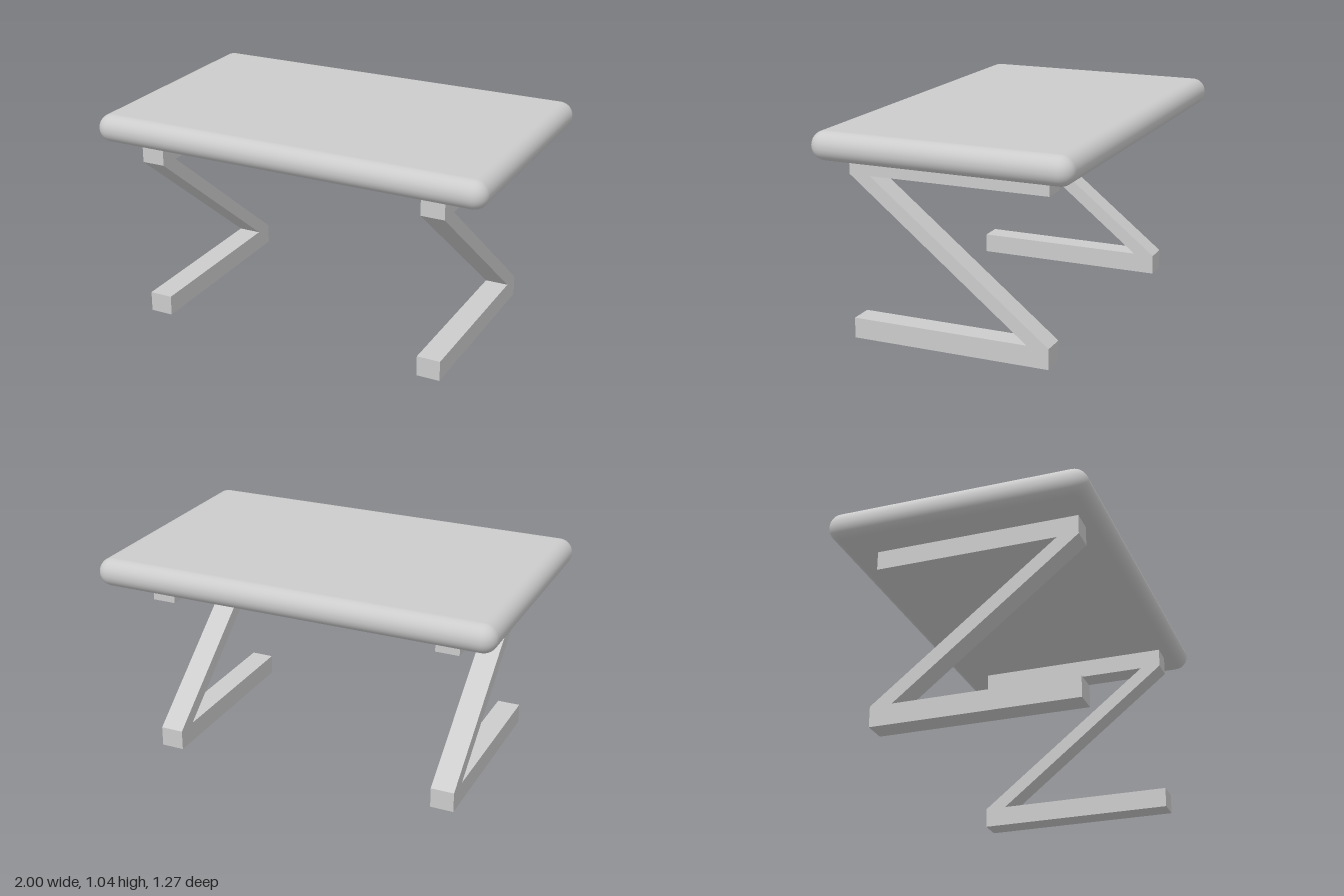
import * as THREE from 'three';
import { RoundedBoxGeometry } from 'three/addons/geometries/RoundedBoxGeometry.js';

const TOP_HEIGHT = 0.138;
const LEG_HEIGHT = 0.9;
const LEG_WIDTH = 0.116;

// Z-shaped side profile, as (z, y) points
const LEG_PROFILE = [
  [0.54, 0], [0.54, 0.1], [-0.348, 0.1], [0.54, 0.805], [0.54, LEG_HEIGHT],
  [-0.455, LEG_HEIGHT], [-0.455, 0.805], [0.435, 0.805], [-0.455, 0.1], [-0.455, 0],
];

export function createModel() {
  const group = new THREE.Group();
  group.name = 'table';
  const material = new THREE.MeshStandardMaterial({ color: 0xcccccc });

  // Slab with fully rounded edges
  const top = new THREE.Mesh(
    new RoundedBoxGeometry(2, TOP_HEIGHT, 1.27, 8, TOP_HEIGHT / 2 - 0.001),
    material
  );
  top.name = 'tableTop';
  top.position.y = LEG_HEIGHT + TOP_HEIGHT / 2;
  group.add(top);

  // Pair of Z legs, extruded across the width
  const shape = new THREE.Shape(LEG_PROFILE.map(([z, y]) => new THREE.Vector2(z, y)));
  const legGeometry = new THREE.ExtrudeGeometry(shape, { depth: LEG_WIDTH, bevelEnabled: false });
  legGeometry.translate(0, 0, -LEG_WIDTH / 2);
  legGeometry.rotateY(-Math.PI / 2);
  for (const [name, side] of [['leftLeg', 1], ['rightLeg', -1]]) {
    const leg = new THREE.Mesh(legGeometry, material);
    leg.name = name;
    leg.position.x = side * 0.731;
    group.add(leg);
  }

  return group;
}
